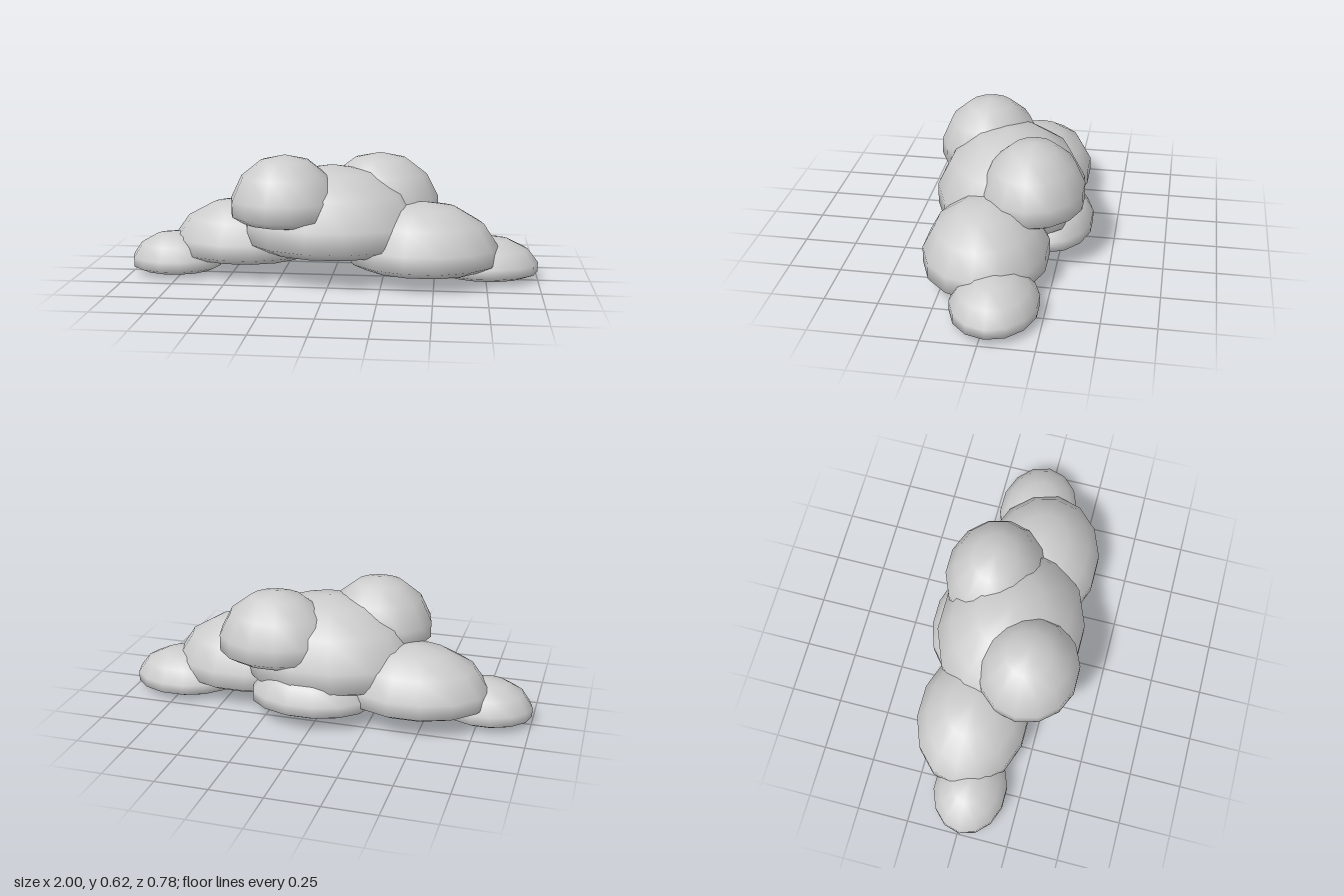
import * as THREE from 'three';
import { mergeVertices } from 'three/addons/utils/BufferGeometryUtils.js';

const SQUASH = 0.3; // the underside of every puff is flattened by this factor

// Coarse smooth ellipsoid with a flattened underside
function puffGeometry(rx, ry, rz) {
  let geo = new THREE.SphereGeometry(1, 14, 7);
  geo.deleteAttribute('uv');
  geo.deleteAttribute('normal');
  geo = mergeVertices(geo, 1e-4);
  const p = geo.attributes.position;
  for (let i = 0; i < p.count; i++) {
    const y = p.getY(i);
    p.setXYZ(i, p.getX(i) * rx, y * ry * (y < 0 ? SQUASH : 1), p.getZ(i) * rz);
  }
  geo.computeVertexNormals();
  return geo;
}

export function createModel() {
  const group = new THREE.Group();
  group.name = 'cloud';
  const cloudGrey = new THREE.MeshStandardMaterial({ color: 0xcccccc });
  cloudGrey.name = 'cloudGrey';

  // name, centre, radii
  const puffs = [
    ['centrePuff', [0, 0.208, 0.012], [0.45, 0.347, 0.366]],
    ['leftPuff', [0.443, 0.118, 0.058], [0.37, 0.272, 0.298]],
    ['rightPuff', [-0.445, 0.124, -0.062], [0.364, 0.246, 0.277]],
    ['leftEndPuff', [0.747, 0.048, -0.032], [0.26, 0.16, 0.205]],
    ['rightEndPuff', [-0.78, 0.048, 0.01], [0.226, 0.16, 0.18]],
    ['upperFrontPuff', [-0.212, 0.35, 0.152], [0.267, 0.27, 0.25]],
    ['upperBackPuff', [0.225, 0.323, -0.125], [0.292, 0.275, 0.25]],
    ['lowerBackPuff', [0.035, 0.096, -0.198], [0.3, 0.175, 0.202]],
  ];
  for (const [name, centre, radii] of puffs) {
    const mesh = new THREE.Mesh(puffGeometry(...radii), cloudGrey);
    mesh.name = name;
    mesh.position.set(...centre);
    group.add(mesh);
  }
  return group;
}
